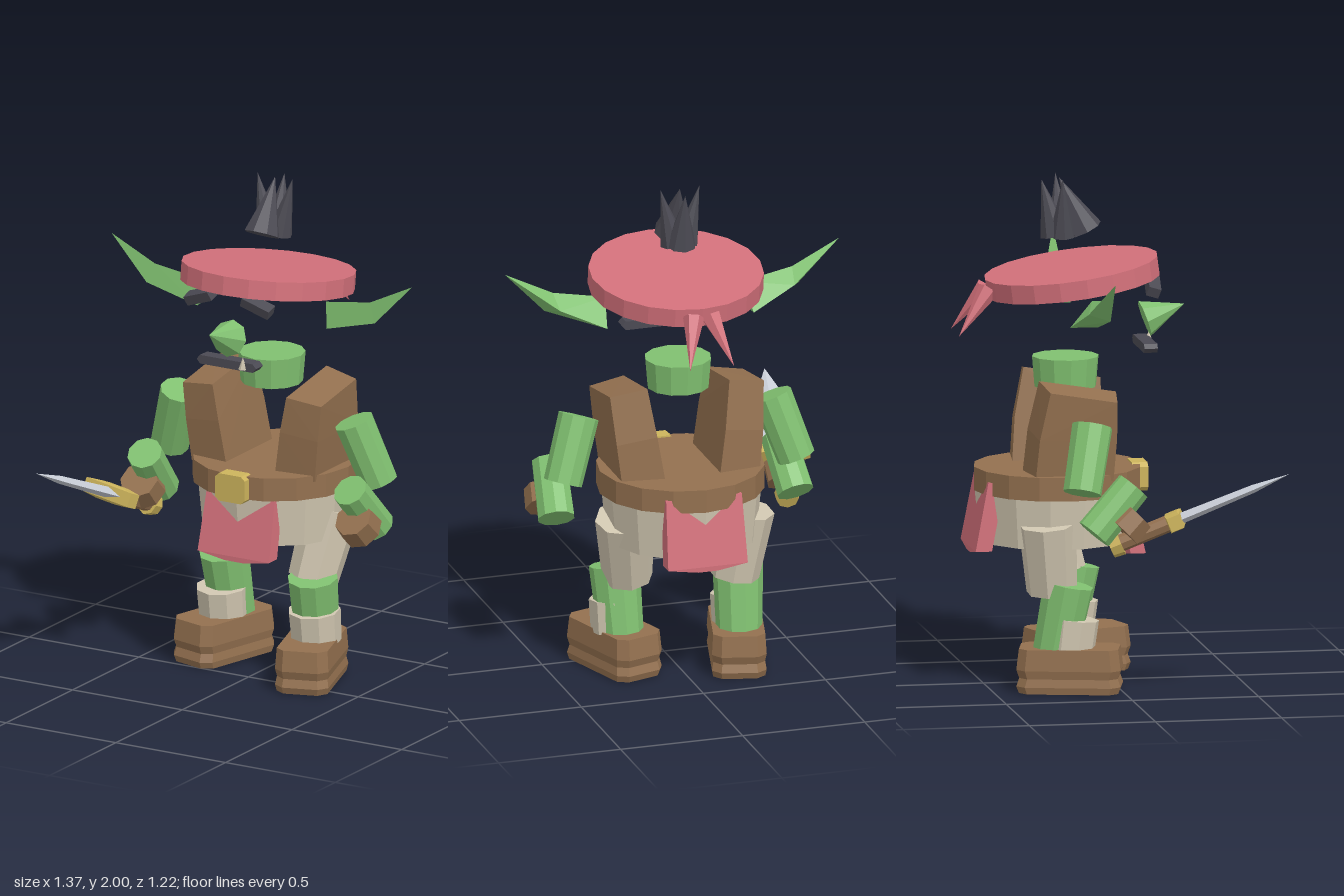
import * as THREE from 'three';
import { ConvexGeometry } from 'three/addons/geometries/ConvexGeometry.js';

const V = (x, y, z) => new THREE.Vector3(x, y, z);

export function createModel() {
  const root = new THREE.Group();
  root.name = 'goblinFighter';

  const paint = (name, color) => {
    const m = new THREE.MeshStandardMaterial({ color, flatShading: true });
    m.name = name;
    return m;
  };
  const green = paint('greenSkin', 0x80c070);
  const red = paint('redCloth', 0xd2707a);
  const brown = paint('brownLeather', 0x93704f);
  const cream = paint('creamCloth', 0xd0c6b0);
  const dark = paint('darkHair', 0x4b4a53);
  const gold = paint('goldMetal', 0xcdb45c);
  const steel = paint('steelBlade', 0xc8cdd6);

  const add = (name, geometry, material, parent = root) => {
    const mesh = new THREE.Mesh(geometry, material);
    mesh.name = name;
    parent.add(mesh);
    return mesh;
  };
  // Tapered cylinder running from point a to point b
  const limb = (name, mat, a, b, ra, rb, sides) => {
    const d = b.clone().sub(a);
    const mesh = add(name, new THREE.CylinderGeometry(rb, ra, d.length(), sides), mat);
    mesh.position.copy(a).add(b).multiplyScalar(0.5);
    mesh.quaternion.setFromUnitVectors(V(0, 1, 0), d.normalize());
    return mesh;
  };
  const hull = (name, mat, pts, parent) =>
    add(name, new ConvexGeometry(pts.map((p) => V(...p))), mat, parent);
  const box = (name, mat, size, pos, rot = [0, 0, 0]) => {
    const mesh = add(name, new THREE.BoxGeometry(...size), mat);
    mesh.position.set(...pos);
    mesh.rotation.set(...rot);
    return mesh;
  };

  // Tuft of hair
  limb('hairFront', dark, V(0, 1.785, -0.1), V(0, 1.995, -0.2), 0.072, 0, 8);
  limb('hairBack', dark, V(0, 1.77, -0.215), V(0, 1.99, -0.27), 0.06, 0, 8);
  for (const s of [1, -1])
    limb('hairSide', dark, V(s * 0.025, 1.77, -0.19), V(s * 0.08, 2, -0.2), 0.052, 0, 8);

  // Tilted round headband with two tails
  const band = add('headband', new THREE.CylinderGeometry(0.343, 0.343, 0.075, 20), red);
  band.position.set(0, 1.607, -0.148);
  band.rotation.x = -0.135;
  for (const s of [1, -1])
    limb('headbandTail', red, V(s * 0.035, 1.565, -0.485), V(s * 0.09, 1.392, -0.613), 0.042, 0, 6);

  // Ears: two tapering segments each
  for (const s of [1, -1]) {
    const base = [[s * 0.28, 1.55, -0.12], [s * 0.295, 1.447, -0.1], [s * 0.3, 1.45, -0.21]];
    const mid = [[s * 0.49, 1.585, -0.105], [s * 0.52, 1.508, -0.09], [s * 0.48, 1.53, -0.17]];
    const ear = new THREE.Group();
    ear.name = s > 0 ? 'leftEar' : 'rightEar';
    root.add(ear);
    hull('earBase', green, [...base, ...mid], ear);
    hull('earTip', green, [...mid, [s * 0.685, 1.68, -0.1]], ear);
  }

  // Face
  limb('nose', green, V(0, 1.425, 0.14), V(0, 1.48, 0.297), 0.074, 0, 8);
  for (const s of [1, -1])
    box('brow', dark, [0.125, 0.04, 0.05], [s * 0.13, 1.58, 0.148], [0.3, 0, s * -0.36]);
  const lips = [];
  for (const s of [1, -1])
    for (const z of [0.115, 0.168])
      lips.push([s * 0.12, 1.345, z], [s * 0.135, 1.328, z], [s * 0.12, 1.31, z]);
  hull('mouth', dark, lips);
  limb('tooth', cream, V(0.075, 1.318, 0.168), V(0.078, 1.368, 0.172), 0.017, 0, 6);
  limb('neck', green, V(0, 1.17, -0.175), V(0, 1.29, -0.175), 0.122, 0.132, 12);

  // Belt, buckle and open vest panels
  limb('belt', brown, V(0, 0.767, -0.207), V(0, 0.86, -0.207), 0.33, 0.33, 16);
  const buckle = [];
  for (const z of [0.08, 0.142])
    for (const x of [-1, 1])
      for (const y of [-1, 1])
        buckle.push([x * 0.068, 0.81 + y * 0.04, z], [x * 0.05, 0.81 + y * 0.056, z]);
  hull('buckle', gold, buckle);
  for (const s of [1, -1]) {
    const panel = [];
    // y front, y back, inner x, outer x, front z, back z
    for (const [yf, yb, xi, xo, zf, zb] of [
      [0.85, 0.85, 0.112, 0.28, -0.015, -0.365],
      [1.02, 1.03, 0.14, 0.3, -0.004, -0.35],
      [1.165, 1.22, 0.168, 0.315, -0.005, -0.31],
    ]) {
      panel.push([s * xi, yf + 0.005, zf], [s * xo, yf - 0.015, zf - 0.02]);
      panel.push([s * xi, yb, zb], [s * xo, yb - 0.025, zb + 0.02]);
    }
    hull('vestPanel', brown, panel);
  }

  // Hip wrap and the two loincloth flaps that cut into it
  limb('hipWrap', cream, V(0, 0.57, -0.22), V(0, 0.78, -0.22), 0.295, 0.315, 14);
  const flap = (name, top, bottom, dz) => {
    const pts = [];
    for (const s of [1, -1])
      for (const d of [0, dz])
        pts.push([s * 0.155, top[0], top[1] + d], [s * 0.163, bottom[0] + 0.02, bottom[1] + d],
          [s * 0.04, bottom[0], bottom[1] + d]);
    hull(name, red, pts);
  };
  flap('frontFlap', [0.76, 0.06], [0.505, 0.115], -0.06);
  flap('backFlap', [0.82, -0.508], [0.53, -0.56], 0.065);

  // Legs: striding, left foot ahead of right
  for (const [s, dz, yaw, footZ] of [[1, 0, 0.31, -0.09], [-1, -0.11, -0.25, -0.2]]) {
    limb('thigh', cream, V(s * 0.24, 0.67, -0.235 + dz * 0.5), V(s * 0.2, 0.395, -0.155 + dz), 0.115, 0.1, 8);
    limb('calf', green, V(s * 0.225, 0.16, -0.145 + dz), V(s * 0.235, 0.425, -0.095 + dz), 0.09, 0.1, 10);
    limb('ankleWrap', cream, V(s * 0.235, 0.16, -0.12 + dz * 0.75), V(s * 0.235, 0.29, -0.105 + dz * 0.75), 0.1, 0.104, 9);

    const shoe = new THREE.Group();
    shoe.name = s > 0 ? 'leftShoe' : 'rightShoe';
    shoe.position.set(s * 0.233, 0, footZ);
    shoe.rotation.y = yaw;
    root.add(shoe);
    const ring = (y, k) => {
      const out = [];
      for (const x of [-1, 1])
        for (const z of [-1, 1])
          out.push([x * 0.105 * k, y, z * 0.165 * k], [x * 0.07 * k, y, z * 0.2 * k]);
      return out;
    };
    hull('sole', brown, [...ring(0.003, 0.97), ...ring(0.03, 1.02), ...ring(0.065, 0.96)], shoe);
    hull('upper', brown, [...ring(0.06, 0.96), ...ring(0.095, 1.02), ...ring(0.178, 0.97)], shoe);
  }

  // Arms
  for (const s of [1, -1]) {
    limb('upperArm', green, V(s * 0.478, 0.825, -0.195), V(s * 0.395, 1.075, -0.14), 0.076, 0.08, 10);
    limb('forearm', green, V(s * 0.468, 0.845, 0.01), V(s * 0.49, 0.663, -0.15), 0.07, 0.074, 10);
    limb('fist', brown, V(s * 0.488, 0.735, 0.02), V(s * 0.494, 0.675, -0.04), 0.078, 0.085, 8);
  }

  // Short sword in the right hand: local y runs along the blade
  const sword = new THREE.Group();
  sword.name = 'sword';
  const along = V(-0.08, 0.185, 0.438).normalize();
  const flat = new THREE.Vector3().crossVectors(along, V(0.96, -0.05, 0.25)).normalize();
  const side = new THREE.Vector3().crossVectors(along, flat).normalize();
  sword.quaternion.setFromRotationMatrix(new THREE.Matrix4().makeBasis(side, along, flat));
  sword.position.set(-0.525, 0.713, 0.165);
  root.add(sword);
  hull('blade', steel, [
    [-0.073, 0, 0], [0.073, 0, 0], [0, 0, 0.022], [0, 0, -0.022],
    [-0.053, 0.33, 0], [0.053, 0.33, 0], [0, 0.33, 0.016], [0, 0.33, -0.016], [0, 0.482, 0],
  ], sword);
  const guard = [];
  for (const x of [-1, 1])
    for (const z of [-1, 1])
      guard.push([x * 0.12, -0.022, z * 0.028], [x * 0.12, 0.03, z * 0.028],
        [x * 0.05, -0.03, z * 0.036], [x * 0.05, 0.022, z * 0.036]);
  hull('guard', gold, guard, sword);
  add('grip', new THREE.CylinderGeometry(0.034, 0.034, 0.23, 8), brown, sword).position.y = -0.125;
  add('pommel', new THREE.CylinderGeometry(0.048, 0.044, 0.045, 8), gold, sword).position.y = -0.25;

  return root;
}
